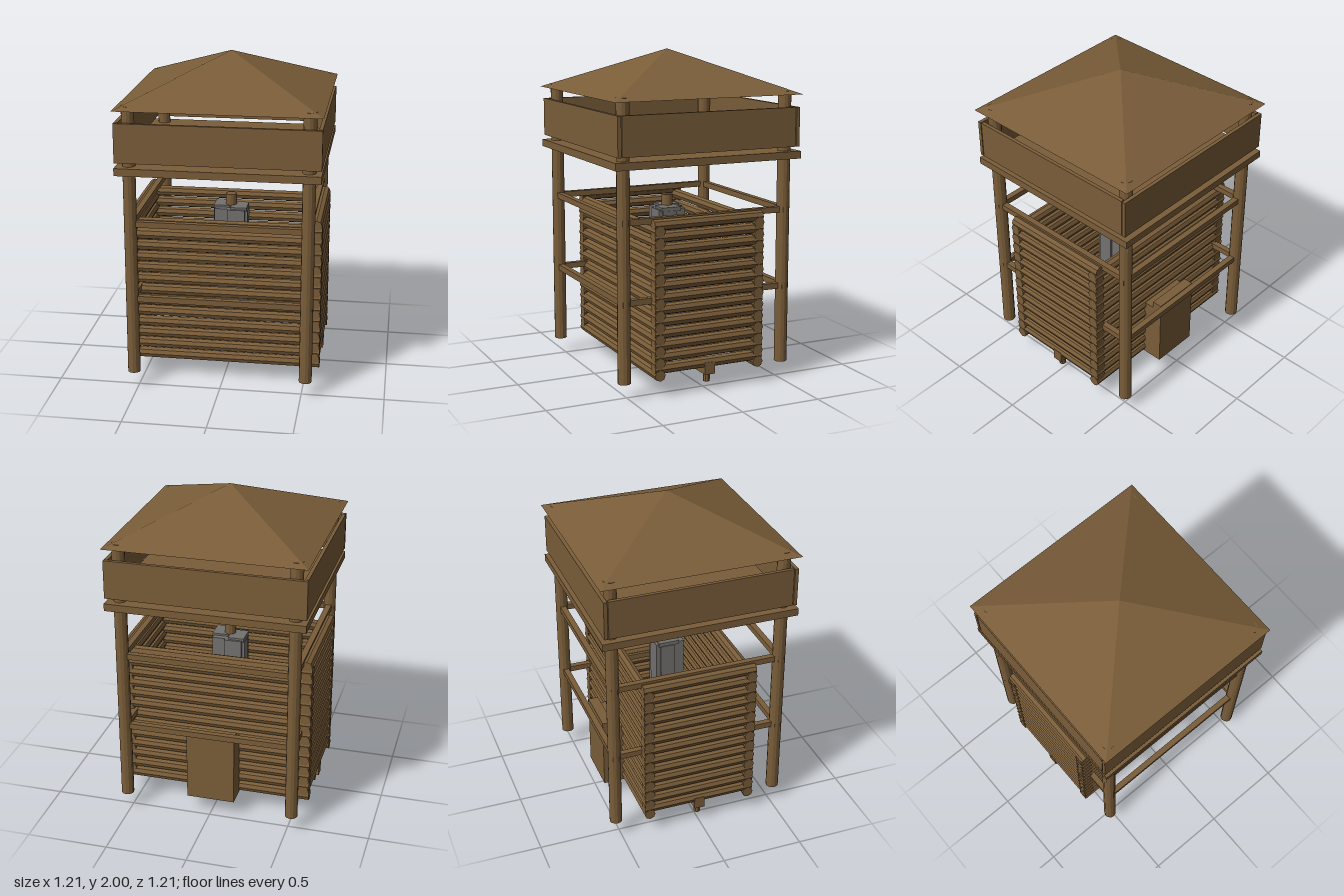
import * as THREE from 'three';

export function createModel() {
  const model = new THREE.Group();
  model.name = 'logWatchtower';

  const wood = new THREE.MeshStandardMaterial({ color: 0x7a5d39 });
  wood.name = 'brown wood';
  const stone = new THREE.MeshStandardMaterial({ color: 0x73726f });
  stone.name = 'grey stone';

  function add(parent, name, geometry, material, x = 0, y = 0, z = 0) {
    // Unshared vertices give every facet its own flat normal.
    const flat = geometry.index ? geometry.toNonIndexed() : geometry;
    flat.computeVertexNormals();
    const mesh = new THREE.Mesh(flat, material);
    mesh.name = name;
    mesh.position.set(x, y, z);
    parent.add(mesh);
    return mesh;
  }
  function group(name) {
    const g = new THREE.Group();
    g.name = name;
    model.add(g);
    return g;
  }
  const box = (parent, name, w, h, d, x, y, z, mat = wood) =>
    add(parent, name, new THREE.BoxGeometry(w, h, d), mat, x, y, z);
  const pole = (parent, name, r, y0, y1, x, z, sides = 12) =>
    add(parent, name, new THREE.CylinderGeometry(r, r, y1 - y0, sides), wood, x, (y0 + y1) / 2, z);

  // Pyramid roof
  const roof = new THREE.ConeGeometry(0.605 * Math.SQRT2, 0.255, 4, 1);
  roof.rotateY(Math.PI / 4);
  add(model, 'roof', roof, wood, 0, 1.8725, 0);

  // Corner posts, poking slightly through the roof
  const posts = group('posts');
  for (const x of [-0.525, 0.525])
    for (const z of [-0.525, 0.525]) pole(posts, 'cornerPost', 0.039, 0.1, 1.765, x, z);

  // Lookout platform and its parapet boards
  box(model, 'platform', 1.2, 0.045, 1.2, 0, 1.385, 0);
  const parapet = group('parapet');
  for (const s of [-1, 1]) {
    box(parapet, 'longBoard', 1.2, 0.235, 0.022, 0, 1.553, s * 0.576);
    box(parapet, 'sideBoard', 0.022, 0.235, 1.12, s * 0.588, 1.553, 0);
  }

  // Two rings of rails tying the posts together
  const rails = group('rails');
  for (const y of [0.58, 1.052])
    for (const s of [-1, 1]) {
      box(rails, 'crossRail', 1.12, 0.036, 0.036, 0, y, s * 0.525);
      box(rails, 'sideRail', 0.036, 0.036, 1.05, s * 0.525, y, 0);
    }

  // Log cabin: long and short courses alternate by half a log
  const cabin = group('logWalls');
  const r = 0.034, step = 0.0714;
  for (let i = 0; i < 13; i++)
    for (const s of [-1, 1]) {
      const long = new THREE.CylinderGeometry(r, r, 1.19, 8);
      long.rotateZ(Math.PI / 2);
      add(cabin, 'longLog', long, wood, 0, 0.137 + i * step, s * 0.325);
      const short = new THREE.CylinderGeometry(r, r, 0.71, 8);
      short.rotateX(Math.PI / 2);
      add(cabin, 'shortLog', short, wood, s * 0.56, 0.172 + i * step, 0);
    }

  // Central mast, floor beam and the pegs below it
  pole(model, 'mast', 0.035, 0, 1.1, 0, 0);
  box(model, 'floorBeam', 1.19, 0.075, 0.065, 0, 0.14, 0);
  for (const s of [-1, 1]) pole(model, 'beamPeg', 0.021, 0.05, 0.15, s * 0.55, 0, 8);

  // Stone core around the mast, with raised blocks on every side
  const core = group('stoneCore');
  box(core, 'coreBlock', 0.19, 0.9, 0.16, 0, 0.57, 0, stone);
  for (const s of [-1, 1]) {
    box(core, 'faceBlock', 0.11, 0.86, 0.02, s * 0.04, 0.59, s * 0.09, stone);
    box(core, 'sideBlock', 0.02, 0.88, 0.09, s * 0.1, 0.57, s * 0.03, stone);
    box(core, 'capBlock', 0.1, 0.025, 0.13, s * 0.055, 1.02, s * 0.02, stone);
  }

  // Stepped wooden chute behind the cabin, reaching in under the wall
  const profile = new THREE.Shape();
  profile.moveTo(0.08, 0.1);
  profile.lineTo(0.478, 0.1);
  profile.lineTo(0.478, 0.56);
  profile.lineTo(0.415, 0.56);
  profile.lineTo(0.415, 0.515);
  profile.lineTo(0.08, 0.515);
  const chute = new THREE.ExtrudeGeometry(profile, { depth: 0.3, bevelEnabled: false });
  chute.translate(0, 0, -0.15);
  chute.rotateY(Math.PI / 2);
  add(model, 'rearChute', chute, wood);

  return model;
}
